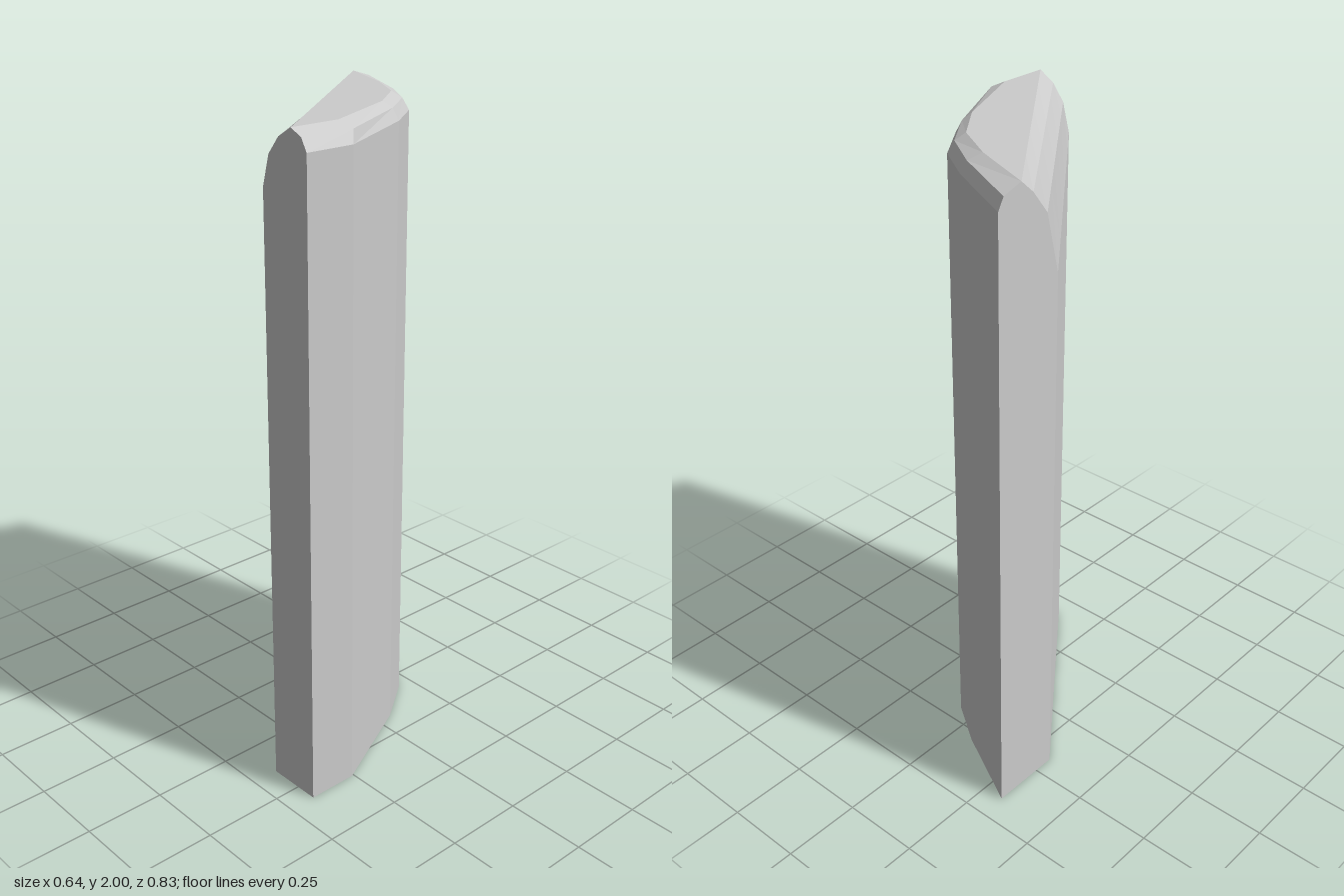
import * as THREE from 'three';

// Inner (straight) side at each end, from floor to crest: [x, y, z]
const INNER_LEFT = [[-0.32, 0, -0.185], [-0.32, 1.71, -0.185], [-0.32, 1.89, -0.23], [-0.32, 1.96, -0.285], [-0.32, 2, -0.33]];
const INNER_FRONT = [[0.145, 0, 0.415], [0.145, 1.83, 0.415], [0.17, 1.92, 0.415], [0.21, 1.97, 0.415], [0.26, 2, 0.415]];

// Stations along the curved side: t along the straight side, then [x, z] of
// the crest edge, the bevel and the wall
const STATIONS = [
  [0, [-0.32, -0.33], [-0.32, -0.395], [-0.32, -0.415]],
  [0.2, [-0.11, -0.24], [-0.08, -0.27], [-0.07, -0.285]],
  [0.4, [0.03, -0.155], [0.05, -0.18], [0.063, -0.195]],
  [0.6, [0.135, -0.02], [0.15, -0.045], [0.165, -0.055]],
  [0.85, [0.26, 0.255], [0.3, 0.24], [0.32, 0.257]],
  [1, [0.26, 0.415], [0.3, 0.415], [0.32, 0.415]],
];

// Cross-section: up the inner side, over the crest, down the curved side
function section([t, crest, bevel, wall]) {
  const inner = INNER_LEFT.map((p, i) => p.map((v, k) => v + (INNER_FRONT[i][k] - v) * t));
  const at = ([x, z], y) => [x, y, z];
  return [...inner, at(crest, 2), at(bevel, 1.98), at(wall, 1.945), at(wall, 0)];
}

function loft(sections) {
  const n = sections[0].length;
  const index = [];
  // Skin between neighbouring sections, closed underneath
  for (let s = 0; s < sections.length - 1; s++) {
    for (let k = 0; k < n; k++) {
      const a = s * n + k, d = s * n + (k + 1) % n;
      index.push(a, a + n, d + n, a, d + n, d);
    }
  }
  // Flat end faces
  const last = (sections.length - 1) * n;
  for (let k = 1; k < n - 1; k++) {
    index.push(0, k, k + 1, last, last + k + 1, last + k);
  }
  const geometry = new THREE.BufferGeometry();
  geometry.setAttribute('position', new THREE.Float32BufferAttribute(sections.flat(2), 3));
  geometry.setIndex(index);
  const flat = geometry.toNonIndexed();
  flat.computeVertexNormals();
  return flat;
}

export function createModel() {
  const group = new THREE.Group();
  group.name = 'curvedPillar';
  const material = new THREE.MeshStandardMaterial({ color: 0xcccccc, flatShading: true });
  const pillar = new THREE.Mesh(loft(STATIONS.map(section)), material);
  pillar.name = 'pillarBody';
  group.add(pillar);
  return group;
}
